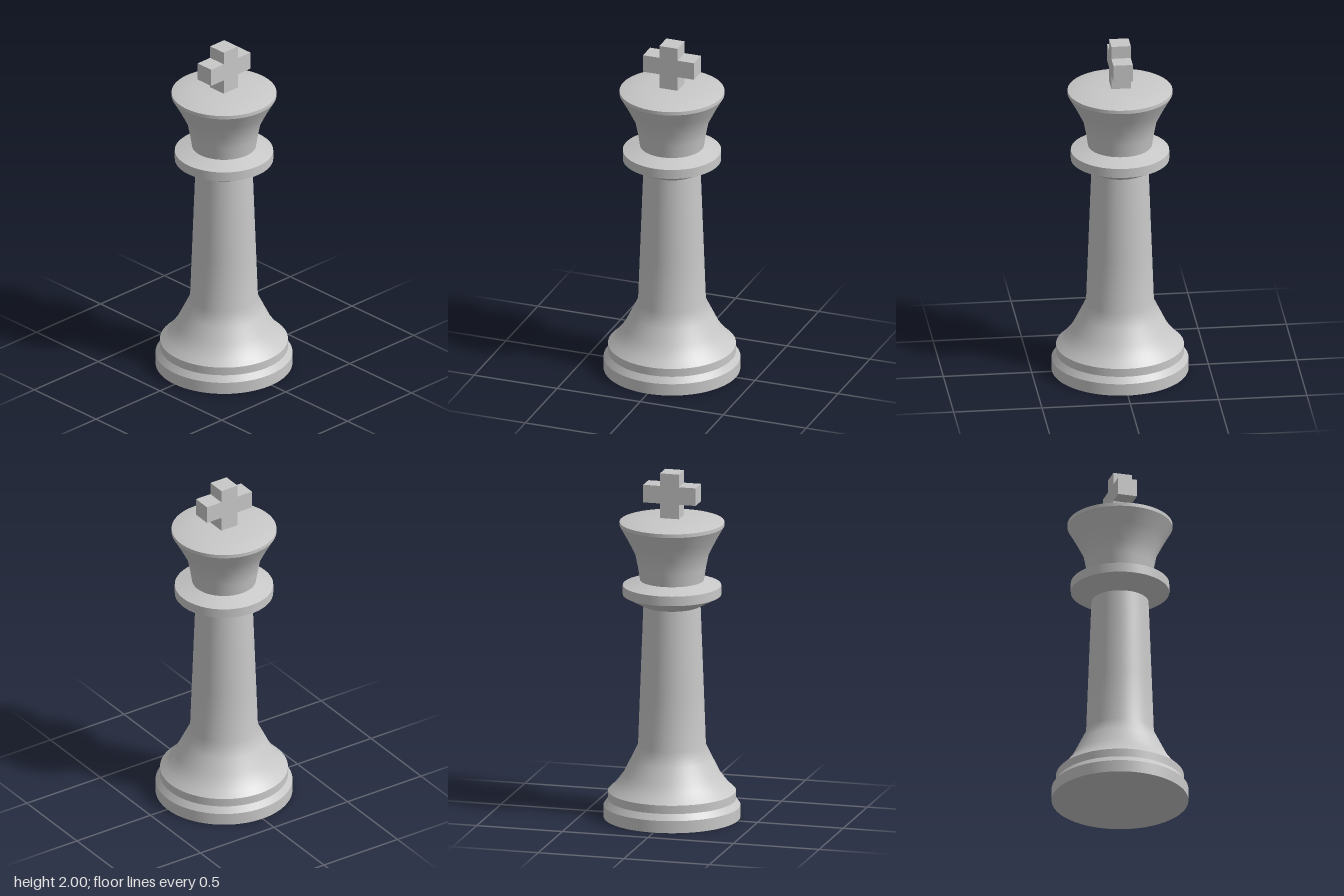
import * as THREE from 'three';

export function createModel() {
  const model = new THREE.Group();
  model.name = 'chessKing';
  const grey = new THREE.MeshStandardMaterial({ color: 0xc8c8c8 });
  grey.name = 'lightGrey';

  const add = (name, geometry, parent = model) => {
    const mesh = new THREE.Mesh(geometry, grey);
    mesh.name = name;
    parent.add(mesh);
    return mesh;
  };

  // Each run of [radius, height] points is smooth; runs meet in sharp edges
  const turned = [
    ['baseUnderside', [[0, 0], [0.385, 0]]],
    ['baseRim', [[0.385, 0], [0.385, 0.07]]],
    ['baseBevel', [[0.385, 0.07], [0.36, 0.105]]],
    ['baseBand', [[0.36, 0.105], [0.36, 0.153]]],
    ['footAndColumn', [[0.36, 0.153], [0.328, 0.183], [0.305, 0.21], [0.272, 0.255],
      [0.23, 0.34], [0.191, 0.42], [0.18, 0.72], [0.161, 1.228]]],
    ['collarUnderside', [[0.161, 1.228], [0.277, 1.29]]],
    ['collarRim', [[0.277, 1.29], [0.277, 1.345]]],
    ['collarTop', [[0.277, 1.345], [0.18, 1.375]]],
    ['crownCup', [[0.18, 1.375], [0.192, 1.45], [0.207, 1.525], [0.25, 1.61], [0.295, 1.69]]],
    ['crownRim', [[0.295, 1.69], [0.295, 1.711]]],
    ['crownTop', [[0.295, 1.711], [0.175, 1.741], [0, 1.741]]],
  ];
  for (const [name, points] of turned) {
    add(name, new THREE.LatheGeometry(points.map(([r, y]) => new THREE.Vector2(r, y)), 96));
  }

  // Cross finial, extruded from one outline
  const half = [[0.055, 1.741], [0.055, 1.825], [0.153, 1.825], [0.153, 1.927], [0.055, 1.927], [0.055, 2]];
  const outline = [...half, ...half.map(([x, y]) => [-x, y]).reverse()];
  const shape = new THREE.Shape(outline.map(([x, y]) => new THREE.Vector2(x, y)));
  const cross = new THREE.ExtrudeGeometry(shape, { depth: 0.11, bevelEnabled: false });
  cross.translate(0, 0, -0.055);
  add('cross', cross);

  return model;
}
